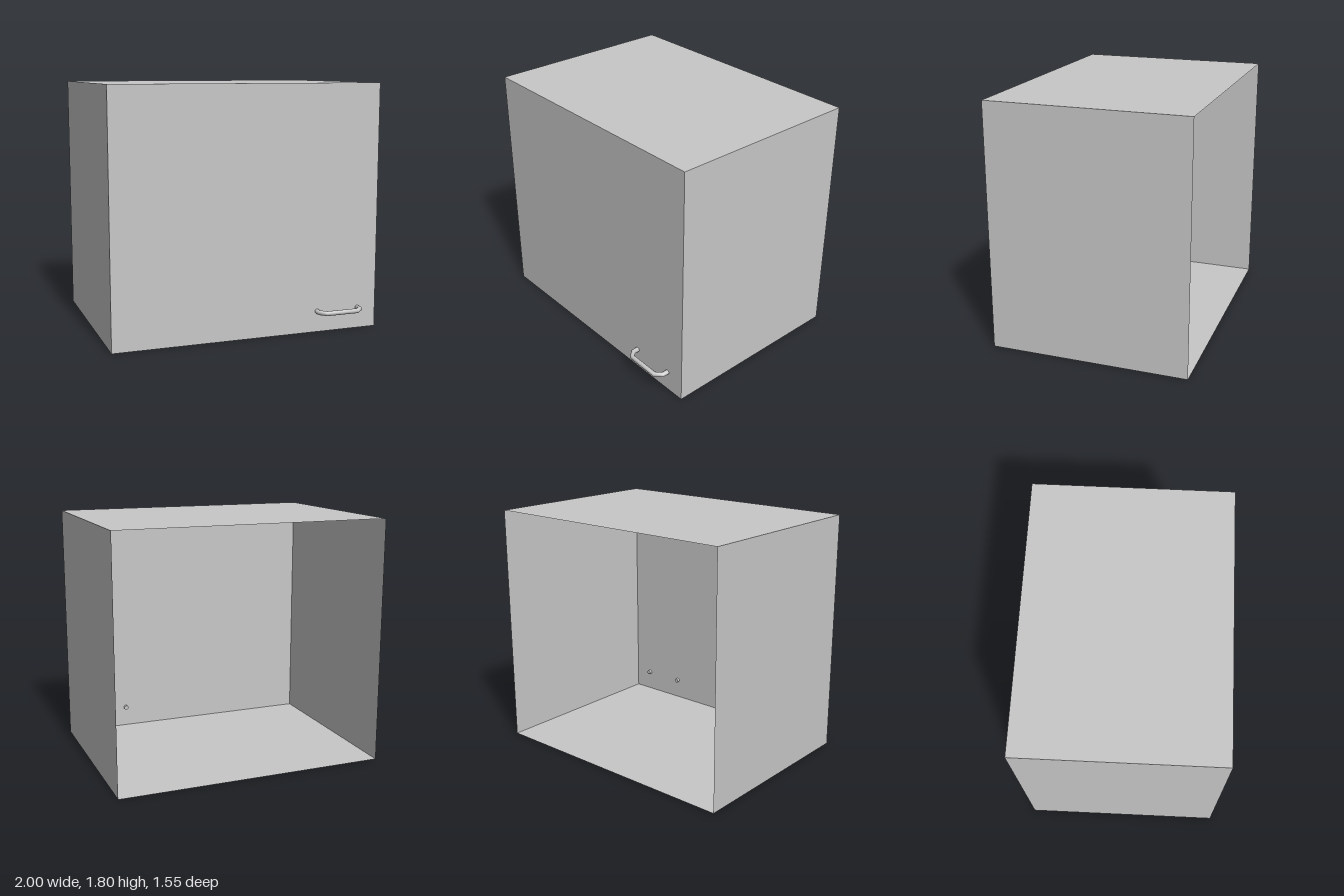
import * as THREE from 'three';

// Straight-sided path that places one tube ring at every corner
class CornerPath extends THREE.Curve {
  constructor(points) {
    super();
    this.points = points;
  }
  getPoint(t, target = new THREE.Vector3()) {
    const last = this.points.length - 1;
    const i = Math.min(Math.floor(t * last + 1e-6), last - 1);
    return target.lerpVectors(this.points[i], this.points[i + 1], t * last - i);
  }
  getPointAt(u, target) {
    return this.getPoint(u, target);
  }
  // Rings lie on the bisector between neighbouring segments
  getTangentAt(u, target = new THREE.Vector3()) {
    const p = this.points, last = p.length - 1, i = Math.round(u * last);
    target.set(0, 0, 0);
    if (i > 0) target.add(p[i].clone().sub(p[i - 1]).normalize());
    if (i < last) target.add(p[i + 1].clone().sub(p[i]).normalize());
    return target.normalize();
  }
}

export function createModel() {
  const model = new THREE.Group();
  const grey = new THREE.MeshStandardMaterial({ color: 0xc7c7c7, side: THREE.DoubleSide });
  grey.name = 'light grey';

  const width = 2, height = 1.805, front = 0.672, back = -0.775;
  const depth = front - back, midZ = (front + back) / 2;

  const add = (name, geometry, position, rotation = [0, 0, 0], parent = model) => {
    const mesh = new THREE.Mesh(geometry, grey);
    mesh.name = name;
    mesh.position.set(...position);
    mesh.rotation.set(...rotation);
    parent.add(mesh);
  };

  // Sheet-thin cabinet, open at the back
  const side = new THREE.PlaneGeometry(depth, height);
  const lid = new THREE.PlaneGeometry(width, depth);
  add('door', new THREE.PlaneGeometry(width, height), [0, height / 2, front]);
  add('leftSide', side, [width / 2, height / 2, midZ], [0, Math.PI / 2, 0]);
  add('rightSide', side, [-width / 2, height / 2, midZ], [0, -Math.PI / 2, 0]);
  add('topPanel', lid, [0, height, midZ], [-Math.PI / 2, 0, 0]);
  add('bottomPanel', lid, [0, 0, midZ], [Math.PI / 2, 0, 0]);

  // Bent bar handle whose ends pass through the door
  const handle = new THREE.Group();
  handle.name = 'handle';
  handle.position.set(0.69, 0.154, 0);
  model.add(handle);
  const radius = 0.0175, endZ = 0.65;
  const half = [[0.163, endZ], [0.163, 0.715], [0.121, 0.757]];
  const points = [
    ...half.map(([x, z]) => new THREE.Vector3(-x, 0, z)),
    ...half.map(([x, z]) => new THREE.Vector3(x, 0, z)).reverse(),
  ];
  add('bar', new THREE.TubeGeometry(new CornerPath(points), points.length - 1, radius, 16),
    [0, 0, 0], [0, 0, 0], handle);
  for (const s of [-1, 1]) {
    add('barEnd', new THREE.CircleGeometry(radius, 16), [s * 0.163, 0, endZ], [0, Math.PI, 0], handle);
  }
  return model;
}
